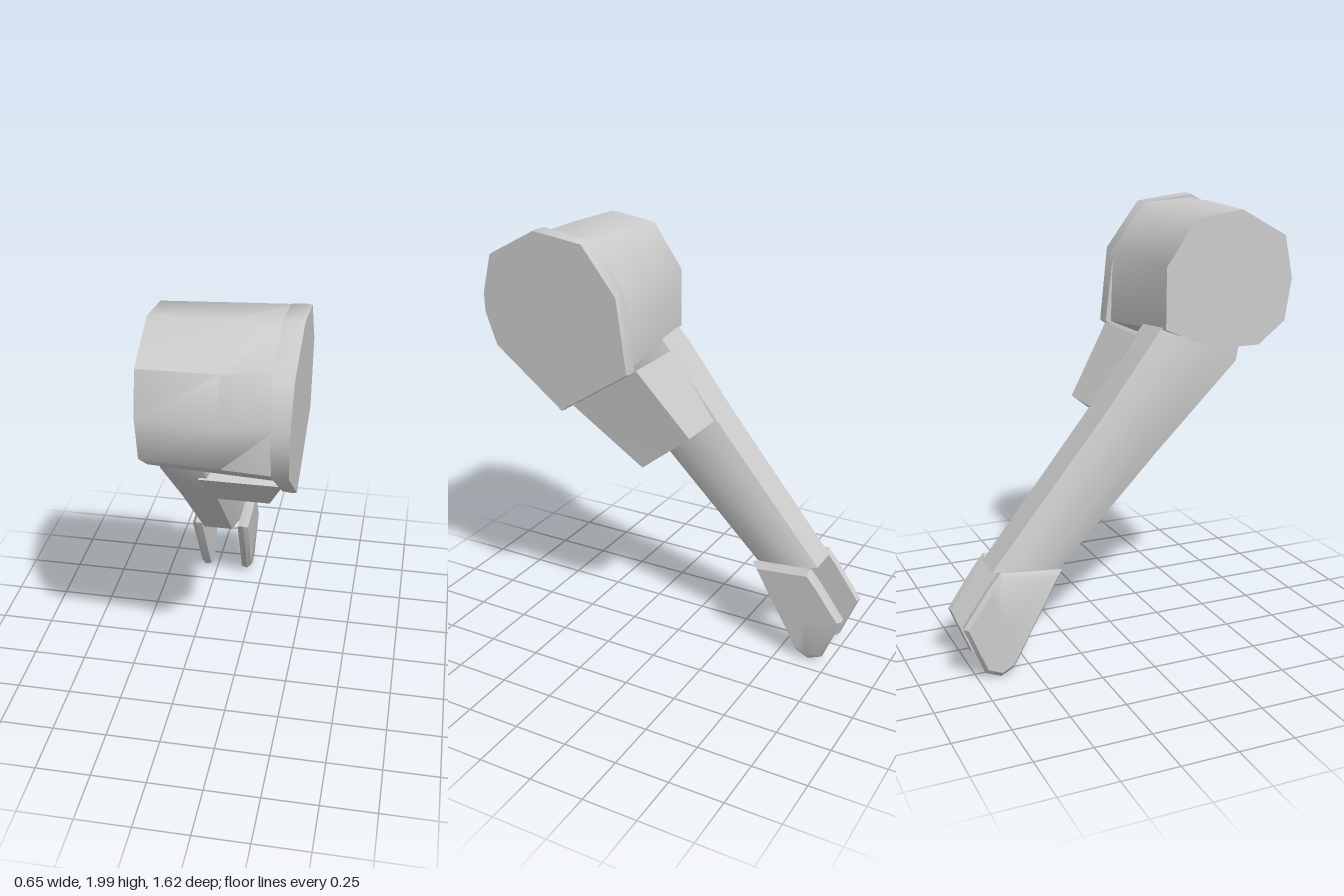
import * as THREE from 'three';
import { mergeVertices, toCreasedNormals } from 'three/addons/utils/BufferGeometryUtils.js';

const material = new THREE.MeshStandardMaterial({ color: 0xcccccc, side: THREE.DoubleSide });

// Closed solid through matching cross-sections, each a loop of [x, y, z]
function loft(name, sections, crease = 0.85) {
  const n = sections[0].length;
  const tris = [];
  for (let s = 0; s < sections.length - 1; s++) {
    const a = sections[s], b = sections[s + 1];
    for (let i = 0; i < n; i++) {
      const j = (i + 1) % n;
      tris.push([a[i], a[j], b[j]], [a[i], b[j], b[i]]);
    }
  }
  const centre = (r) => [0, 1, 2].map((k) => r.reduce((t, p) => t + p[k], 0) / n);
  const first = sections[0], last = sections[sections.length - 1];
  const c0 = centre(first), c1 = centre(last);
  for (let i = 0; i < n; i++) {
    const j = (i + 1) % n;
    tris.push([c0, first[j], first[i]], [c1, last[i], last[j]]);
  }
  // Signed volume decides the winding, so faces always point outward
  const vec = (p) => new THREE.Vector3(...p);
  const volume = tris.reduce((t, [a, b, c]) => t + vec(a).dot(vec(b).cross(vec(c))), 0);
  if (volume < 0) tris.forEach((t) => t.reverse());
  const geo = new THREE.BufferGeometry();
  geo.setAttribute('position', new THREE.Float32BufferAttribute(tris.flat(2), 3));
  const mesh = new THREE.Mesh(toCreasedNormals(mergeVertices(geo), crease), material);
  mesh.name = name;
  return mesh;
}

// Side outline of [z, y] points placed at x (number or function of y), scaled about its middle
function ring(outline, x, scale = 1) {
  const cz = outline.reduce((t, p) => t + p[0], 0) / outline.length;
  const cy = outline.reduce((t, p) => t + p[1], 0) / outline.length;
  return outline.map(([z, y]) => [
    typeof x === 'function' ? x(y) : x, cy + (y - cy) * scale, cz + (z - cz) * scale,
  ]);
}

// Bevelled eight-sided section between front point p and back point q ([z, y])
function limbSection(p, q, x0, x1, inset) {
  const at = (x, t) => [x, p[1] + (q[1] - p[1]) * t, p[0] + (q[0] - p[0]) * t];
  return [
    at(x0 + inset, 0), at(x1 - inset, 0), at(x1, 0.3), at(x1, 0.75),
    at(x1 - inset, 1), at(x0 + inset, 1), at(x0, 0.75), at(x0, 0.3),
  ];
}

export function createModel() {
  const model = new THREE.Group();
  model.name = 'mechanicalArm';

  // Shoulder drum, widening to the outer side and dented at its front top edge
  const drumInner = [[0.72, 1.85], [0.5, 1.97], [0.28, 1.94], [0.14, 1.74], [0.14, 1.47],
    [0.38, 1.37], [0.6, 1.37], [0.73, 1.47], [0.76, 1.66]];
  const drumMiddle = [[0.73, 1.86], [0.51, 1.98], [0.28, 1.955], [0.125, 1.75], [0.12, 1.44],
    [0.36, 1.32], [0.56, 1.33], [0.74, 1.46], [0.785, 1.66]];
  const drumOuter = [[0.64, 1.84], [0.51, 1.98], [0.28, 1.965], [0.12, 1.755], [0.11, 1.42],
    [0.36, 1.31], [0.56, 1.32], [0.74, 1.45], [0.74, 1.66]];
  model.add(loft('shoulderDrum', [ring(drumInner, -0.285), ring(drumMiddle, 0.04), ring(drumOuter, 0.26)]));

  // Shoulder plate with a pointed lower end
  const plate = [[0.76, 1.87], [0.52, 2], [0.28, 1.97], [0.12, 1.76], [0.08, 1.42],
    [0.43, 1.19], [0.76, 1.45], [0.81, 1.6], [0.81, 1.69]];
  const outerX = (y) => 0.3 + (y - 1.19) * 0.03;
  model.add(loft('shoulderPlate', [
    ring(plate, 0.24, 0.99), ring(plate, (y) => outerX(y) - 0.02), ring(plate, outerX, 0.99),
  ]));

  // Tapered block under the shoulder
  const blockSection = (p, q, x0, x1) => [
    [x0, p[1], p[0]], [x1, p[1], p[0]], [x1, q[1], q[0]], [x0, q[1], q[0]],
  ];
  model.add(loft('elbowBlock', [
    blockSection([0.41, 1.2], [0.08, 1.42], -0.12, 0.235),
    blockSection([0.11, 0.92], [-0.13, 1.11], -0.12, 0.14),
  ], 0.4));

  // Long arm from inside the drum down to the hand
  model.add(loft('arm', [
    limbSection([0.55, 1.5], [0.2, 1.55], -0.27, -0.05, 0.03),
    limbSection([0.5, 1.3], [0.09, 1.42], -0.29, -0.05, 0.03),
    limbSection([0.11, 0.92], [-0.13, 1.13], -0.292, -0.07, 0.03),
    limbSection([-0.36, 0.44], [-0.66, 0.48], -0.295, -0.09, 0.03),
  ]));

  // Two flat fingers gripping the end of the arm
  const finger = [[-0.36, 0.46], [-0.64, 0.49], [-0.69, 0.43], [-0.81, 0.26],
    [-0.72, 0.04], [-0.65, 0.01], [-0.59, 0.04]];
  for (const [name, inner, outer] of [['rightFinger', -0.28, -0.33], ['leftFinger', -0.1, -0.05]]) {
    const lean = (x) => (y) => x + (y - 0.3) * (name === 'leftFinger' ? 0.04 : 0);
    const mid = inner + (outer - inner) * 0.6;
    model.add(loft(name, [ring(finger, lean(inner), 0.97), ring(finger, lean(mid)), ring(finger, lean(outer), 0.9)], 0.7));
  }
  return model;
}
